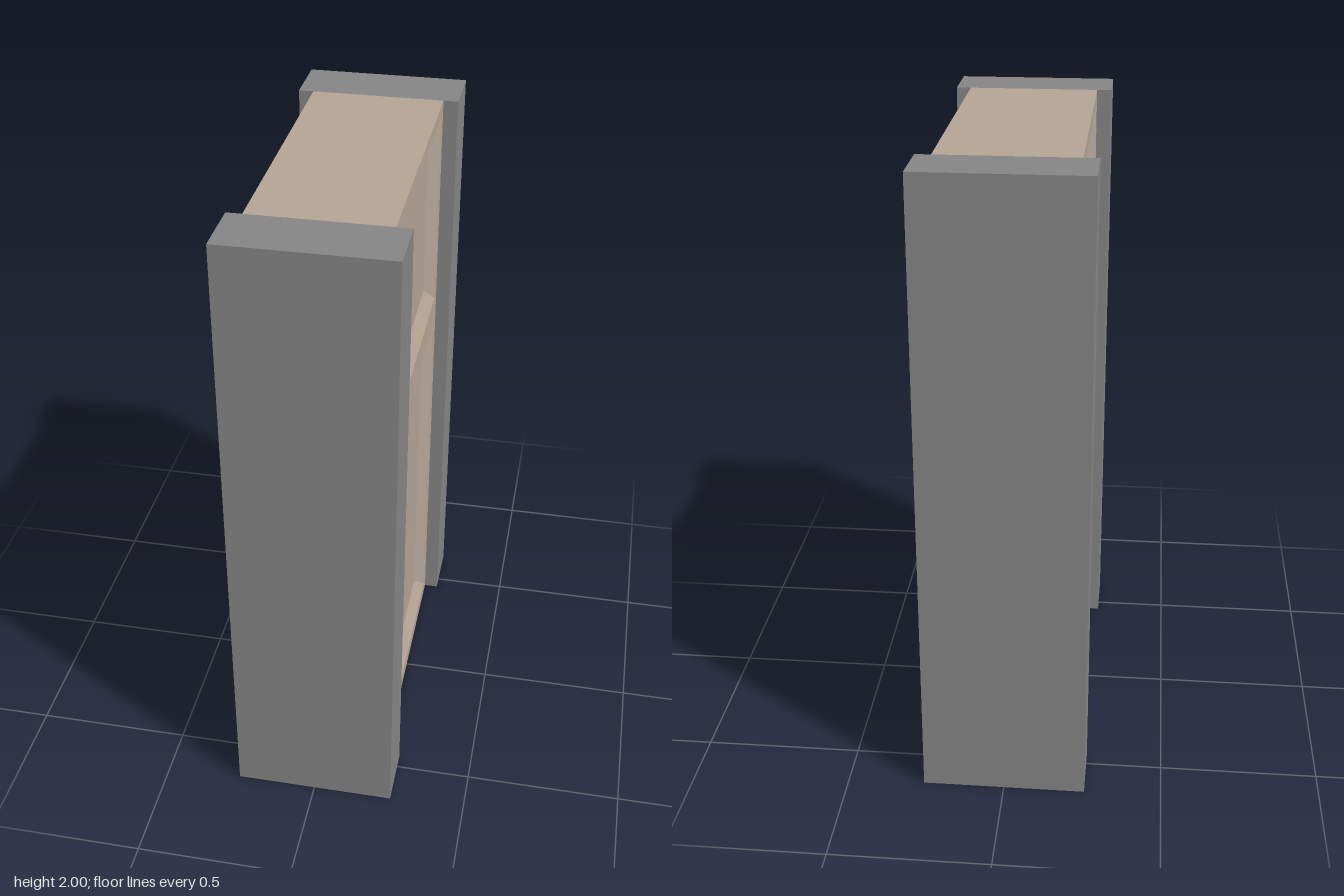
import * as THREE from 'three';

const H = 2, POST_X = 0.257, POST_Z = 0.643, INNER_Z = 0.453, PANEL_X = 0.21;
const BEVEL = 0.057, DEPTH = 0.03;

const grey = new THREE.MeshStandardMaterial({ name: 'grey post', color: 0x858585, side: THREE.DoubleSide });
const tan = new THREE.MeshStandardMaterial({ name: 'tan panel', color: 0xb3a394, side: THREE.DoubleSide });

function part(name, geometry, material, parent) {
  const mesh = new THREE.Mesh(geometry, material);
  mesh.name = name;
  parent.add(mesh);
  return mesh;
}

// Flat-shaded faces from quads of four corners, counter-clockwise
function quads(list) {
  const pos = list.flatMap(([a, b, c, d]) => [a, b, c, a, c, d].flat());
  const g = new THREE.BufferGeometry();
  g.setAttribute('position', new THREE.Float32BufferAttribute(pos, 3));
  g.computeVertexNormals();
  return g;
}

// Horizontal sheet closing the top
function topSheet(name, w, d, z, material, parent) {
  const mesh = part(name, new THREE.PlaneGeometry(w, d).rotateX(-Math.PI / 2), material, parent);
  mesh.position.set(0, H, z);
}

// Hollow post, open below and towards the middle, with narrow return lips
function makePost(name) {
  const post = new THREE.Group();
  post.name = name;
  const path = [[-PANEL_X, INNER_Z], [-POST_X, INNER_Z], [-POST_X, POST_Z],
    [POST_X, POST_Z], [POST_X, INNER_Z], [PANEL_X, INNER_Z]];
  const walls = path.slice(1).map(([x1, z1], i) => {
    const [x0, z0] = path[i];
    return [[x0, 0, z0], [x1, 0, z1], [x1, H, z1], [x0, H, z0]];
  });
  part('postWalls', quads(walls), grey, post);
  topSheet('postTop', 2 * POST_X, POST_Z - INNER_Z, (POST_Z + INNER_Z) / 2, grey, post);
  return post;
}

// Side panel facing local +z, with two bevelled recesses
function makePanel(name) {
  const panel = new THREE.Group();
  panel.name = name;
  const W = INNER_Z, R = 0.41;
  const frame = new THREE.Shape([[-W, 0], [W, 0], [W, H], [-W, H]].map(p => new THREE.Vector2(...p)));
  const corners = (w, y0, y1, z) => [[-w, y0, z], [w, y0, z], [w, y1, z], [-w, y1, z]];
  for (const [y0, y1] of [[0.045, 1.224], [1.313, 1.96]]) {
    const outer = corners(R, y0, y1, 0);
    const inner = corners(R - BEVEL, y0 + BEVEL, y1 - BEVEL, -DEPTH);
    frame.holes.push(new THREE.Path(outer.map(([x, y]) => new THREE.Vector2(x, y))));
    const bevels = outer.map((o, i) => [o, outer[(i + 1) % 4], inner[(i + 1) % 4], inner[i]]);
    part('recess', quads([...bevels, inner]), tan, panel);
  }
  part('panelFrame', new THREE.ShapeGeometry(frame), tan, panel);
  return panel;
}

export function createModel() {
  const model = new THREE.Group();
  model.name = 'panelledPillar';

  const front = makePost('frontPost');
  const back = makePost('backPost');
  back.rotation.y = Math.PI;
  model.add(front, back);

  for (const s of [1, -1]) {
    const panel = makePanel(s > 0 ? 'leftPanel' : 'rightPanel');
    panel.rotation.y = s * Math.PI / 2;
    panel.position.x = s * PANEL_X;
    model.add(panel);
  }

  topSheet('middleTop', 2 * PANEL_X, 2 * INNER_Z, 0, tan, model);
  return model;
}
